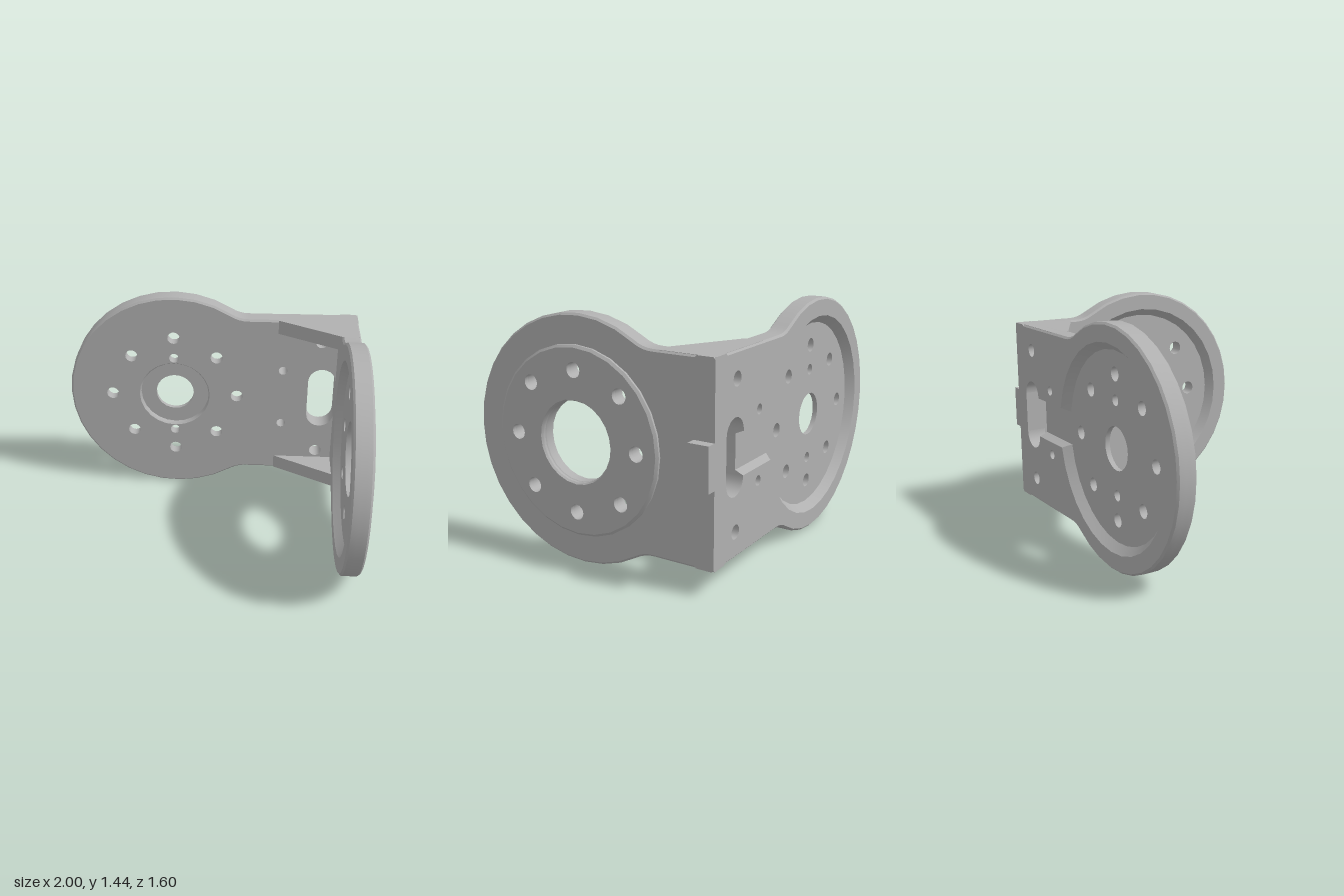
import * as THREE from 'three';
import { toCreasedNormals } from 'three/addons/utils/BufferGeometryUtils.js';

const CY = 0.72, DISC = 0.72, NECK = 0.575, FILLET_U = 0.5;
const FILLET = (FILLET_U ** 2 + NECK ** 2 - DISC ** 2) / (2 * (DISC - NECK));
const CH = 0.012, THICK = 0.12, POCKET = 0.05;

// points along an arc, both ends included
function arc(u, v, r, from, to, n) {
  return Array.from({ length: n + 1 }, (_, i) => {
    const a = from + ((to - from) * i) / n;
    return new THREE.Vector2(u + r * Math.cos(a), v + r * Math.sin(a));
  });
}
const circle = (u, v, r, n = 16) => arc(u, v, r, 0, Math.PI * 2, n).slice(0, -1);

// disc flowing into a straight neck of length len, shrunk by d
function outline(len, d) {
  const t = Math.acos(FILLET_U / (DISC + FILLET));
  const h = NECK - d, cv = NECK + FILLET, H = Math.PI / 2;
  return [
    ...arc(0, 0, DISC - d, t, Math.PI * 2 - t, 24),
    ...arc(FILLET_U, -cv, FILLET + d, Math.PI - t, H, 4).slice(1),
    new THREE.Vector2(len, -h), new THREE.Vector2(len, h),
    ...arc(FILLET_U, cv, FILLET + d, -H, t - Math.PI, 4).slice(0, -1),
  ];
}

// rounded slot, centred on v = 0
function slot(u, r, halfHeight) {
  const s = halfHeight - r;
  return [...arc(u, -s, r, Math.PI, Math.PI * 2, 10), ...arc(u, s, r, 0, Math.PI, 10)];
}

// round pocket joined to the slot by a channel
function pocketWithChannel(r, half, su, sr, sh) {
  const a = Math.asin(half / r);
  return [
    ...arc(0, 0, r, a, Math.PI * 2 - a, 30),
    new THREE.Vector2(su - sr, -half),
    ...slot(su, sr, sh),
    new THREE.Vector2(su - sr, half),
  ];
}

// slab between two matching sections { w, outer, holes }, with optional end caps
function layer(out, A, B, capA, capB) {
  const push = (p, w) => out.push(p.x, p.y, w);
  const wall = (a, b, inward) => a.forEach((p, i) => {
    const j = (i + 1) % a.length;
    const q = [[p, A.w], [a[j], A.w], [b[j], B.w], [b[i], B.w]];
    (inward ? [0, 2, 1, 0, 3, 2] : [0, 1, 2, 0, 2, 3]).forEach((k) => push(...q[k]));
  });
  const cap = (S, up) => {
    const pts = [S.outer, ...S.holes].flat();
    for (const [i, j, k] of THREE.ShapeUtils.triangulateShape(S.outer, S.holes)) {
      const ccw = THREE.ShapeUtils.area([pts[i], pts[j], pts[k]]) > 0;
      (ccw === up ? [i, j, k] : [i, k, j]).forEach((n) => push(pts[n], S.w));
    }
  };
  wall(A.outer, B.outer, false);
  A.holes.forEach((h, i) => wall(h, B.holes[i], true));
  if (capA) cap(A, false);
  if (capB) cap(B, true);
}

function toGeometry(out) {
  const g = new THREE.BufferGeometry();
  g.setAttribute('position', new THREE.Float32BufferAttribute(out, 3));
  return toCreasedNormals(g, 0.5);
}

// eight bolt holes on the axes and the diagonals
function boltCircle(rAxis, rDiagonal, r) {
  return Array.from({ length: 8 }, (_, i) => {
    const a = (i * Math.PI) / 4, d = i % 2 ? rDiagonal : rAxis;
    return circle(d * Math.cos(a), d * Math.sin(a), r);
  });
}

// plate with a sloped pocket on w = 0 and a central bore on the far face
function plate({ len, pocket, rimHoles, floorHoles, bore, counterbore }) {
  const section = (w, d, holes) => ({ w, outer: outline(len, d), holes });
  const floor = POCKET, step = 0.08, top = THICK - CH;
  const rim = (w, d, p) => section(w, d, [pocket(p), ...rimHoles]);
  const low = (w, r, d = 0) => section(w, d, [circle(0, 0, r, 24), ...floorHoles, ...rimHoles]);
  const out = [];
  layer(out, rim(0, CH, 0), rim(CH, 0, 0.01), true, false);
  layer(out, rim(CH, 0, 0.01), rim(floor, 0, 0.045), false, false);
  layer(out, low(floor, bore), low(step, bore), true, true);
  layer(out, low(step, counterbore), low(top, counterbore), false, false);
  layer(out, low(top, counterbore), low(THICK, counterbore + 0.008, CH), false, true);
  return toGeometry(out);
}

export function createModel() {
  const model = new THREE.Group();
  model.name = 'bracket';
  const grey = new THREE.MeshStandardMaterial({ color: 0xb0b0b0 });
  grey.name = 'grey';
  const add = (name, geometry, parent = model) => {
    const mesh = new THREE.Mesh(geometry, grey);
    mesh.name = name;
    parent.add(mesh);
    return mesh;
  };

  // back plate: pocket and cable channel behind, counterbore in front
  const SU = 1.0075, SR = 0.0925, SH = 0.22;
  const back = add('backPlate', plate({
    len: 1.22,
    pocket: (p) => pocketWithChannel(0.61 - p, 0.125 - p * 0.5, SU, SR, SH),
    rimHoles: [-1, 1].flatMap((s) => [
      circle(0.742, s * 0.205, 0.03),
      circle(0.993, s * 0.424, 0.042),
    ]),
    floorHoles: [
      ...boltCircle(0.43, 0.41, 0.042),
      circle(0, 0.28, 0.033), circle(0, -0.28, 0.033),
      slot(SU, SR, SH),
    ],
    bore: 0.13,
    counterbore: 0.235,
  }));
  back.position.set(-0.28, CY, -0.8);

  // side plate, its pocket facing inward
  const side = new THREE.Group();
  side.name = 'sidePlate';
  side.position.set(0.82, CY, 0.08);
  side.rotation.y = Math.PI / 2;
  model.add(side);
  const bolts = boltCircle(0.41, 0.43, 0.045);
  add('sideDisc', plate({
    len: 0.88,
    pocket: (p) => circle(0, 0, 0.61 - p, 32),
    rimHoles: [],
    floorHoles: bolts,
    bore: 0.236,
    counterbore: 0.236,
  }), side);

  // raised locating boss on the outside of the side plate
  const ring = (w, r, b) => ({ w, outer: circle(0, 0, r, 28), holes: [circle(0, 0, b, 24), ...bolts] });
  const boss = [];
  layer(boss, ring(THICK - 0.002, 0.55, 0.236), ring(0.133, 0.55, 0.236), false, false);
  layer(boss, ring(0.133, 0.55, 0.236), ring(0.145, 0.535, 0.244), false, true);
  add('locatingBoss', toGeometry(boss), side);

  // corner gussets along the top and bottom of the neck
  const wedge = new THREE.Shape([
    [0.42, 0.68], [0.82, 0.46], [0.93, 0.46], [0.93, 0.79], [0.42, 0.79],
  ].map(([x, y]) => new THREE.Vector2(x, y)));
  for (const [name, y] of [['upperGusset', CY + 0.48], ['lowerGusset', CY - NECK]]) {
    const g = new THREE.ExtrudeGeometry(wedge, { depth: NECK - 0.48, bevelEnabled: false });
    add(name, g.rotateX(-Math.PI / 2)).position.y = y;
  }

  // small tab on the outer corner
  add('tab', new THREE.BoxGeometry(0.07, 0.255, 0.125)).position.set(0.965, 0.725, -0.7375);
  return model;
}
